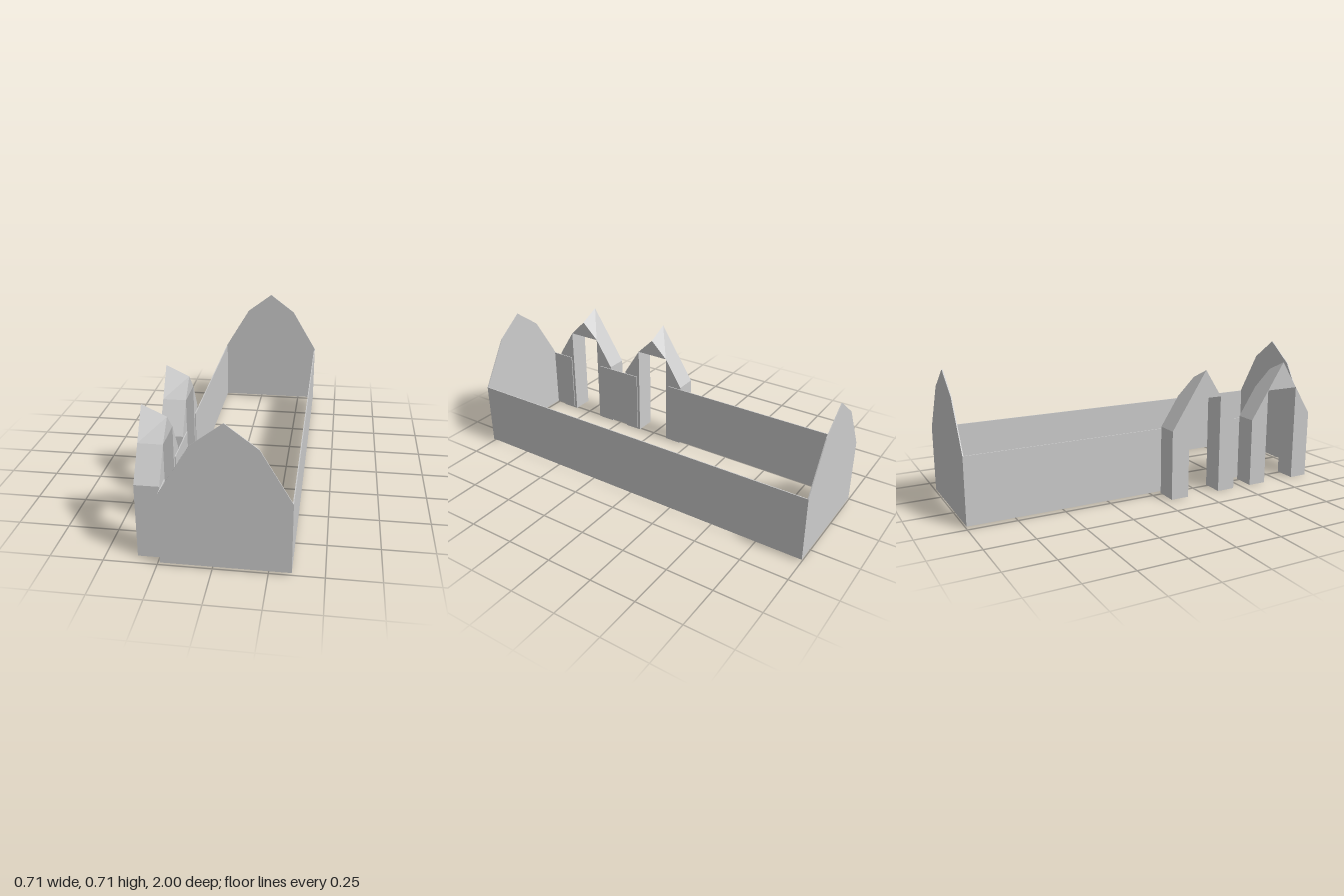
import * as THREE from 'three';

const T = 0.005;                       // wall thickness
const X0 = -0.237, X1 = 0.353;         // outer faces of the long walls
const BASE = 0.012, EAVE = 0.357;
const DORMER_OUT = -0.353;

const material = new THREE.MeshStandardMaterial({
  color: 0xcccccc, flatShading: true, side: THREE.DoubleSide,
});

function add(parent, geometry, name) {
  const mesh = new THREE.Mesh(geometry, material);
  mesh.name = name;
  parent.add(mesh);
  return mesh;
}

// Thin wall along z, between two z positions
function wall(parent, x, zA, zB, name) {
  const mesh = add(parent, new THREE.BoxGeometry(T, EAVE - BASE, zB - zA), name);
  mesh.position.set(x, (BASE + EAVE) / 2, (zA + zB) / 2);
}

// Prism along x between two sections of [z, y] corners; the first side can stay open
function prism(inner, outer, openFirst) {
  const a = inner.map(([z, y]) => [X0, y, z]);
  const b = outer.map(([z, y]) => [DORMER_OUT, y, z]);
  const pos = [];
  const tri = (...corners) => corners.forEach((c) => pos.push(...c));
  for (let i = 0; i < a.length; i++) {
    const j = (i + 1) % a.length;
    if (i > 0 || !openFirst) {
      tri(a[i], b[i], b[j]);
      tri(a[i], b[j], a[j]);
    }
    if (i > 0 && j > 0) {
      tri(a[0], a[i], a[j]);
      tri(b[0], b[j], b[i]);
    }
  }
  const g = new THREE.BufferGeometry();
  g.setAttribute('position', new THREE.Float32BufferAttribute(pos, 3));
  g.computeVertexNormals();
  return g;
}

// Pointed entrance: two hollow posts with slanted tops and a gabled head
function createEntrance(z) {
  const group = new THREE.Group();
  group.name = 'entrance';
  const half = 0.195, open = 0.095, shoulder = 0.368, head = 0.523;
  const front = [[half, 0], [open, 0], [open, head], [half, shoulder]];
  const back = [[-open, 0], [-half, 0], [-half, shoulder], [-open, head]];
  add(group, prism(front, front, true), 'frontPost');
  add(group, prism(back, back, true), 'backPost');
  // The ridge rises towards the outside
  const gable = (peak) => [[open, head], [-open, head], [0, peak]];
  add(group, prism(gable(0.615), gable(0.67), false), 'gabledHead');
  group.position.z = z;
  return group;
}

export function createModel() {
  const model = new THREE.Group();
  model.name = 'barnShell';

  // End gables with a double-pitched outline
  const outline = new THREE.Shape([
    [X0, BASE], [X1, BASE], [X1, EAVE], [0.206, 0.604],
    [0.058, 0.715], [-0.089, 0.604], [X0, EAVE],
  ].map(([x, y]) => new THREE.Vector2(x, y)));
  for (const [name, z] of [['frontGable', 1 - T], ['backGable', -1]]) {
    const g = new THREE.ExtrudeGeometry(outline, { depth: T, bevelEnabled: false });
    add(model, g, name).position.z = z;
  }

  // Long walls: one solid, one broken by the two entrances
  wall(model, X1 - T / 2, -1 + T, 1 - T, 'leftWall');
  for (const [zA, zB] of [[-1 + T, 0.135], [0.36, 0.635], [0.86, 1 - T]]) {
    wall(model, X0 + T / 2, zA, zB, 'rightWallSection');
  }

  for (const z of [0.25, 0.75]) model.add(createEntrance(z));
  return model;
}
